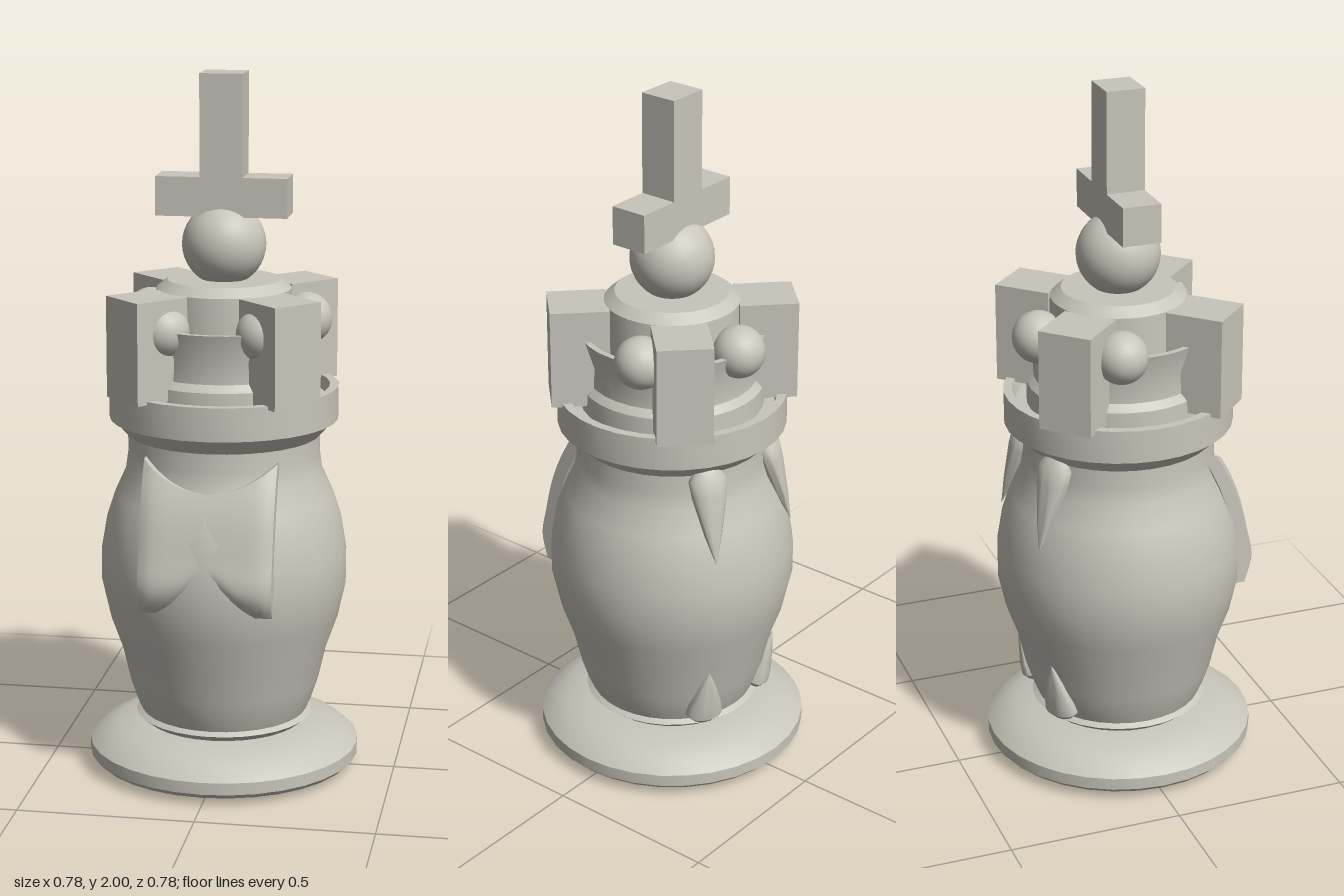
import * as THREE from 'three';
import { toCreasedNormals } from 'three/addons/utils/BufferGeometryUtils.js';

const stone = new THREE.MeshStandardMaterial({ color: 0xc8c5bb });
stone.name = 'stone';

export function createModel() {
  const model = new THREE.Group();

  const add = (name, geometry, x = 0, y = 0, z = 0) => {
    const mesh = new THREE.Mesh(geometry, stone);
    mesh.name = name;
    mesh.position.set(x, y, z);
    model.add(mesh);
    return mesh;
  };
  const lathe = (points, crease = 0.45) => toCreasedNormals(
    new THREE.LatheGeometry(points.map(([r, y]) => new THREE.Vector2(r, y)), 32), crease);

  // Round foot
  add('base', lathe([[0, 0], [0.33, 0.005], [0.375, 0.02], [0.39, 0.035], [0.39, 0.07],
    [0.355, 0.1], [0.31, 0.12], [0.24, 0.135], [0, 0.135]]));

  // Barrel body with a narrow neck
  add('body', lathe([[0.225, 0.13], [0.255, 0.155], [0.24, 0.165], [0.255, 0.2], [0.275, 0.26],
    [0.298, 0.36], [0.33, 0.45], [0.352, 0.55], [0.352, 0.64], [0.335, 0.74], [0.312, 0.81],
    [0.28, 0.88], [0.273, 0.93], [0.273, 1.0]]));

  // Collar with a sunken top
  add('collar', lathe([[0.27, 0.98], [0.285, 0.995], [0.315, 1.03], [0.325, 1.03], [0.325, 1.125],
    [0.3, 1.125], [0.29, 1.09], [0.26, 1.09], [0, 1.09]]));

  // Flared crown wall and the capped turret inside it
  add('crown', lathe([[0.26, 1.08], [0.258, 1.15], [0.24, 1.17], [0.238, 1.23], [0.262, 1.31],
    [0.245, 1.31], [0.205, 1.27], [0.15, 1.27]]));
  add('turret', lathe([[0.195, 1.25], [0.19, 1.4], [0.16, 1.425], [0, 1.425]]));

  // Four corner battlements
  for (let i = 0; i < 4; i++) {
    const a = Math.PI / 4 + i * Math.PI / 2;
    add('battlement', new THREE.BoxGeometry(0.155, 0.285, 0.165),
      Math.sin(a) * 0.262, 1.2575, Math.cos(a) * 0.262).rotation.y = a;
  }

  // Five crown beads, one at the back
  for (let i = 0; i < 5; i++) {
    const a = Math.PI + i * Math.PI * 0.4;
    add('crownBead', new THREE.SphereGeometry(0.074, 24, 16), Math.sin(a) * 0.235, 1.305, Math.cos(a) * 0.235);
  }

  // Finial ball and its nub
  add('finialBall', new THREE.SphereGeometry(0.118, 32, 20), 0, 1.523, 0);
  add('finialNub', new THREE.CylinderGeometry(0.018, 0.045, 0.05, 20), 0, 1.645, 0);

  // Upright with a low crossbar
  const cross = new THREE.Shape([[-0.185, 1.605], [0.185, 1.605], [0.185, 1.715], [0.06, 1.715],
    [0.06, 2], [-0.06, 2], [-0.06, 1.715], [-0.185, 1.715]].map(([x, y]) => new THREE.Vector2(x, y)));
  add('cross', new THREE.ExtrudeGeometry(cross, { depth: 0.11, bevelEnabled: false }), 0, 0, -0.055);

  // Scalloped panel draped down the front
  const drape = new THREE.CatmullRomCurve3([[0.24, 0.96], [0.288, 0.87], [0.315, 0.8], [0.34, 0.7],
    [0.357, 0.61], [0.335, 0.525]].map(([z, y]) => new THREE.Vector3(0, y, z)));
  const drapePoints = drape.getPoints(60);
  const drapeZ = (y) => {
    const i = Math.max(1, drapePoints.findIndex((p) => p.y <= y));
    const a = drapePoints[i - 1], b = drapePoints[i];
    return THREE.MathUtils.mapLinear(y, a.y, b.y, a.z, b.z);
  };
  const panel = new THREE.BoxGeometry(2, 1, 1, 24, 20, 1);
  const pos = panel.attributes.position;
  for (let i = 0; i < pos.count; i++) {
    const u = pos.getX(i), v = pos.getY(i) + 0.5, front = pos.getZ(i) > 0;
    const top = 0.872 + 0.08 * u * u;
    const bottom = 0.535 + 0.1 * (1 - THREE.MathUtils.smoothstep(Math.abs(u), 0.02, 0.72));
    const y = THREE.MathUtils.lerp(bottom, top, v);
    const edge = Math.max(Math.abs(u), 1 - 1.6 * v);
    const rounding = 0.018 * Math.pow(Math.max(0, edge), 8);
    pos.setXYZ(i, u * 0.187, y, drapeZ(y) - (front ? rounding : 0.06));
  }
  panel.computeVertexNormals();
  add('frontPanel', panel);

  // Tapered spurs hugging the back of the body, given as root and tip (radius, height)
  const spurs = [
    { root: [0.262, 1.0], tip: [0.345, 0.73] },
    { root: [0.25, 0.17], tip: [0.3, 0.35] },
  ];
  for (const side of [-1, 1]) {
    for (const { root, tip } of spurs) {
      const length = Math.hypot(tip[0] - root[0], tip[1] - root[1]);
      const holder = new THREE.Group();
      holder.name = 'backSpur';
      holder.rotation.y = Math.PI + side * Math.PI / 6;
      const profile = [[0, -0.5], [0.035, -0.49], [0.055, -0.38], [0.05, -0.2], [0.025, 0.2], [0, 0.5]];
      const spur = new THREE.Mesh(lathe(profile.map(([r, t]) => [r, t * length]), 0.9), stone);
      spur.name = 'spur';
      spur.scale.z = 0.65;
      spur.position.set(0, (root[1] + tip[1]) / 2, (root[0] + tip[0]) / 2);
      spur.rotation.x = Math.atan2(tip[0] - root[0], tip[1] - root[1]);
      holder.add(spur);
      model.add(holder);
    }
  }

  return model;
}
